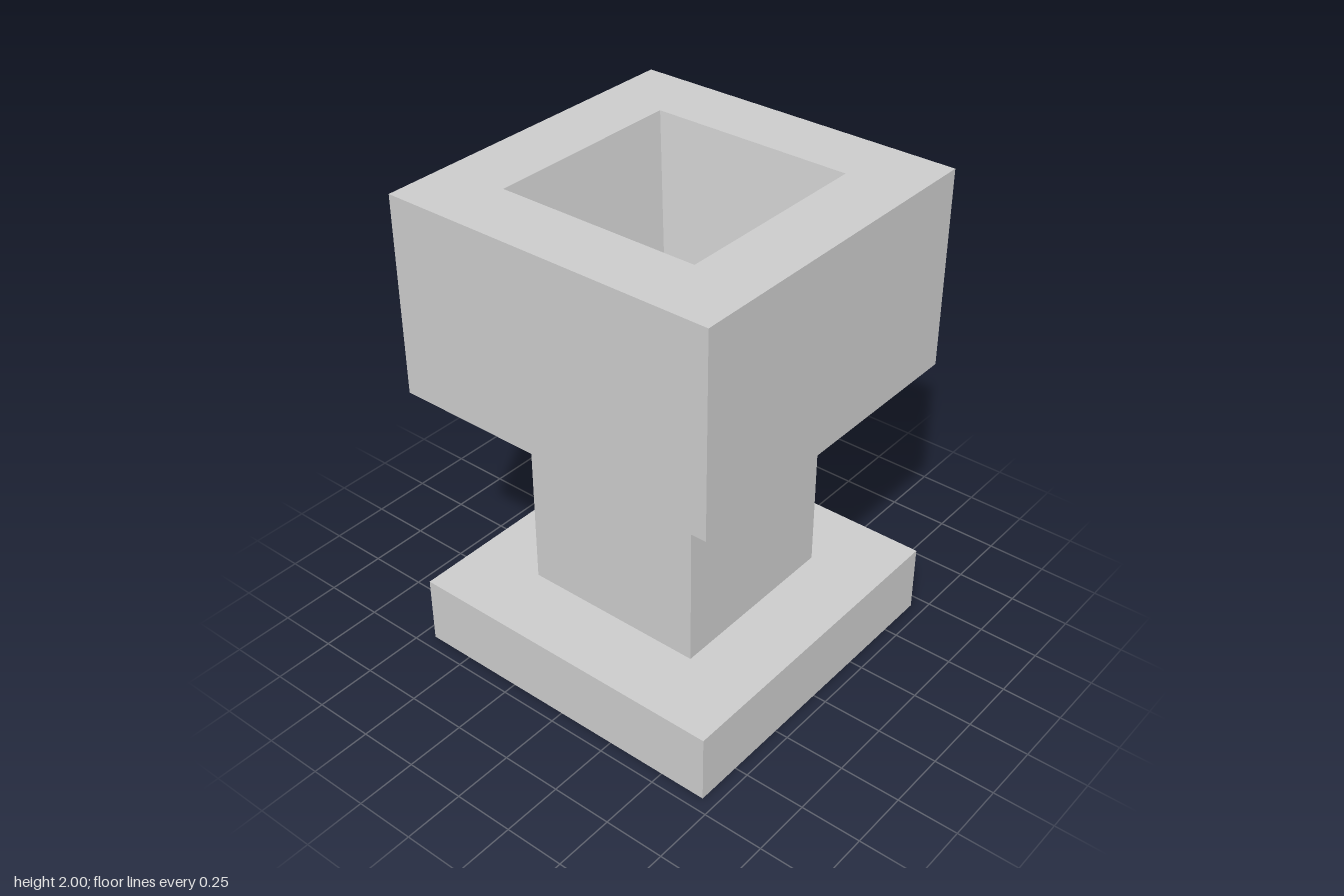
import * as THREE from 'three';

const material = new THREE.MeshStandardMaterial({
  color: 0xcccccc, flatShading: true, side: THREE.DoubleSide,
});

// Four thin walls of a square section, given as half widths at top and bottom
function walls(name, topHalf, bottomHalf, y0, y1) {
  const geo = new THREE.CylinderGeometry(
    topHalf * Math.SQRT2, bottomHalf * Math.SQRT2, y1 - y0, 4, 1, true);
  geo.rotateY(Math.PI / 4);
  geo.translate(0, (y0 + y1) / 2, 0);
  const mesh = new THREE.Mesh(geo, material);
  mesh.name = name;
  return mesh;
}

function square(Type, h) {
  return new Type([[-h, -h], [h, -h], [h, h], [-h, h]].map(([x, y]) => new THREE.Vector2(x, y)));
}

// Flat horizontal square sheet, with an optional square opening
function sheet(name, half, y, holeHalf = 0) {
  const shape = square(THREE.Shape, half);
  if (holeHalf) shape.holes.push(square(THREE.Path, holeHalf));
  const geo = new THREE.ShapeGeometry(shape);
  geo.rotateX(-Math.PI / 2);
  geo.translate(0, y, 0);
  const mesh = new THREE.Mesh(geo, material);
  mesh.name = name;
  return mesh;
}

export function createModel() {
  const outer = 0.695, column = 0.39, mouth = 0.42, well = 0.267;
  const baseTop = 0.29, headBottom = 1.19, wellBottom = 1.1, top = 2;
  const model = new THREE.Group();
  model.name = 'pedestalPlanter';

  model.add(
    // Hollow base, open underneath
    walls('baseWalls', outer, outer, 0, baseTop),
    sheet('baseTop', outer, baseTop),
    // Square column
    walls('column', column, column, baseTop, headBottom),
    // Hollow head, open underneath around the tapered well
    walls('headWalls', outer, outer, headBottom, top),
    sheet('headRim', outer, top, mouth),
    walls('wellWalls', mouth, well, wellBottom, top),
    sheet('wellFloor', well, wellBottom),
  );
  return model;
}
